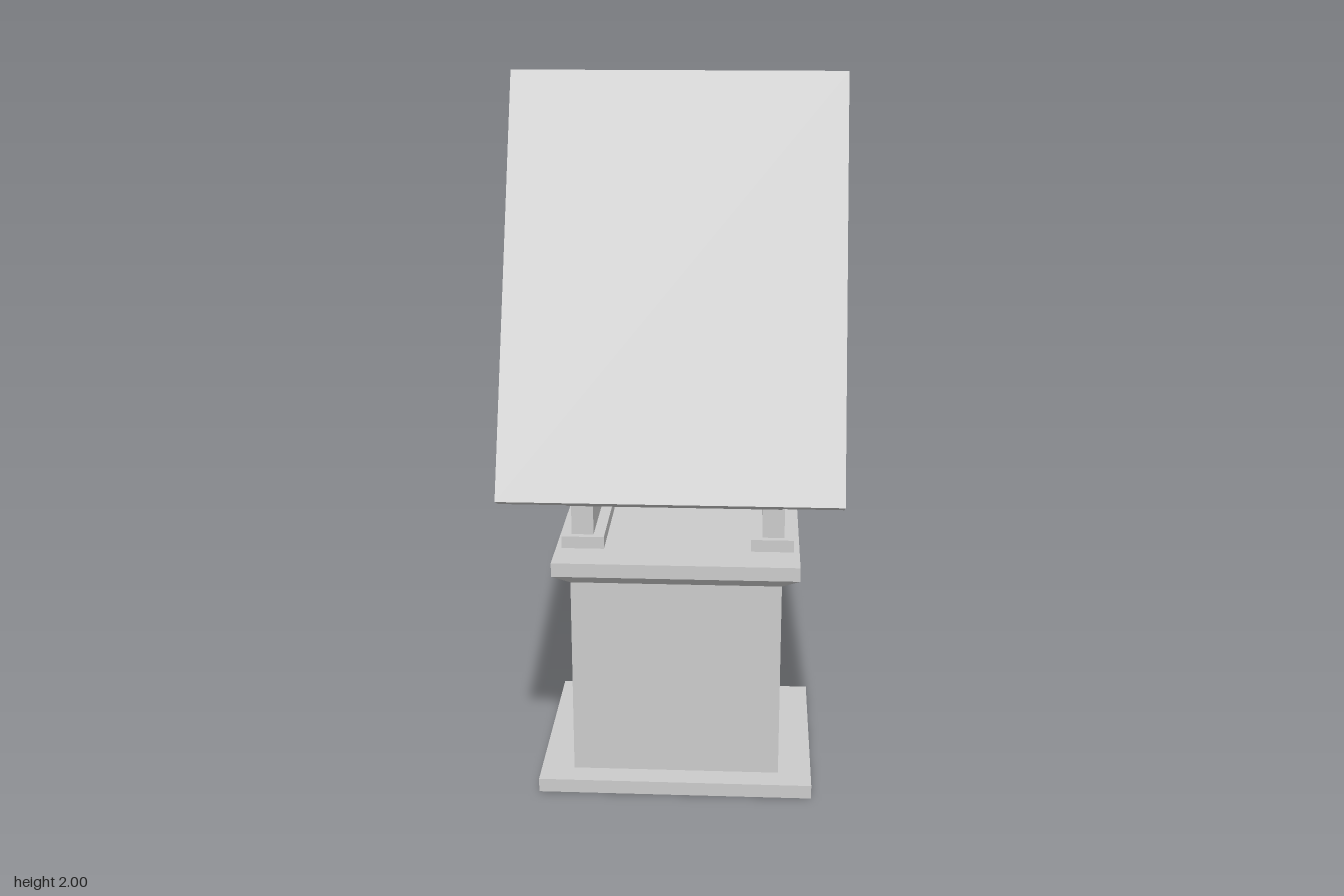
import * as THREE from 'three';

const material = new THREE.MeshStandardMaterial({ color: 0xcccccc, flatShading: true });

// Solid through stacked rectangles, each given as [y, xMin, xMax, zMin, zMax], lowest first
function stack(name, levels) {
  const positions = [], index = [];
  for (const [y, x0, x1, z0, z1] of levels) {
    positions.push(x0, y, z1, x1, y, z1, x1, y, z0, x0, y, z0);
  }
  for (let l = 0; l < levels.length - 1; l++) {
    for (let i = 0; i < 4; i++) {
      const a = l * 4 + i, b = l * 4 + (i + 1) % 4;
      index.push(a, b, b + 4, a, b + 4, a + 4);
    }
  }
  const t = (levels.length - 1) * 4;
  index.push(0, 2, 1, 0, 3, 2, t, t + 1, t + 2, t, t + 2, t + 3);
  const indexed = new THREE.BufferGeometry();
  indexed.setAttribute('position', new THREE.Float32BufferAttribute(positions, 3));
  indexed.setIndex(index);
  const geometry = indexed.toNonIndexed();
  geometry.computeVertexNormals();
  const mesh = new THREE.Mesh(geometry, material);
  mesh.name = name;
  return mesh;
}

const block = (name, x0, x1, y0, y1, z0, z1) =>
  stack(name, [[y0, x0, x1, z0, z1], [y1, x0, x1, z0, z1]]);

// Upright arm with its foot; side is +1 for the left, -1 for the right
function createArm(side) {
  const arm = new THREE.Group();
  arm.name = side > 0 ? 'leftArm' : 'rightArm';
  const span = (inner, outer) => (side > 0 ? [inner, outer] : [-outer, -inner]);
  arm.add(block('armFoot', ...span(0.207, 0.327), 0.69, 0.725, -0.28, 0.04));
  // Post steps outward halfway up and is chamfered at the top
  arm.add(stack('armPost', [
    [0.725, ...span(0.238, 0.300), -0.26, 0.02],
    [0.97, ...span(0.238, 0.300), -0.26, 0.02],
    [1.0, ...span(0.238, 0.323), -0.26, 0.02],
    [1.24, ...span(0.238, 0.323), -0.26, 0.02],
    [1.29, ...span(0.238, 0.313), -0.226, -0.012],
  ]));
  return arm;
}

// Tilted panel: local y runs up the panel, local -z is its back
function createPanel() {
  const panel = new THREE.Group();
  panel.name = 'tiltedPanel';
  panel.add(block('frontSlab', -0.443, 0.443, 0, 1.139, -0.057, 0));
  panel.add(block('rearHousing', -0.289, 0.289, 0.014, 1.054, -0.243, -0.057));
  panel.add(stack('housingCap', [
    [1.054, -0.265, 0.265, -0.235, -0.06],
    [1.073, -0.289, 0.289, -0.245, -0.06],
    [1.105, -0.253, 0.253, -0.232, -0.068],
  ]));
  // Mount held between the two arms
  panel.add(block('pivotBlock', -0.239, 0.239, 0.17, 0.46, -0.364, -0.24));
  panel.position.set(0, 0.968, 0.431);
  panel.rotation.x = -0.438;
  return panel;
}

export function createModel() {
  const model = new THREE.Group();
  model.name = 'panelOnPedestal';

  // Pedestal
  model.add(block('basePlate', -0.388, 0.388, 0, 0.04, -0.43, 0.19));
  model.add(block('column', -0.294, 0.294, 0.04, 0.62, -0.36, 0.12));
  model.add(stack('topPlate', [
    [0.62, -0.294, 0.294, -0.36, 0.12],
    [0.65, -0.343, 0.343, -0.395, 0.155],
    [0.69, -0.343, 0.343, -0.395, 0.155],
  ]));

  for (const side of [1, -1]) model.add(createArm(side));
  model.add(createPanel());
  return model;
}
